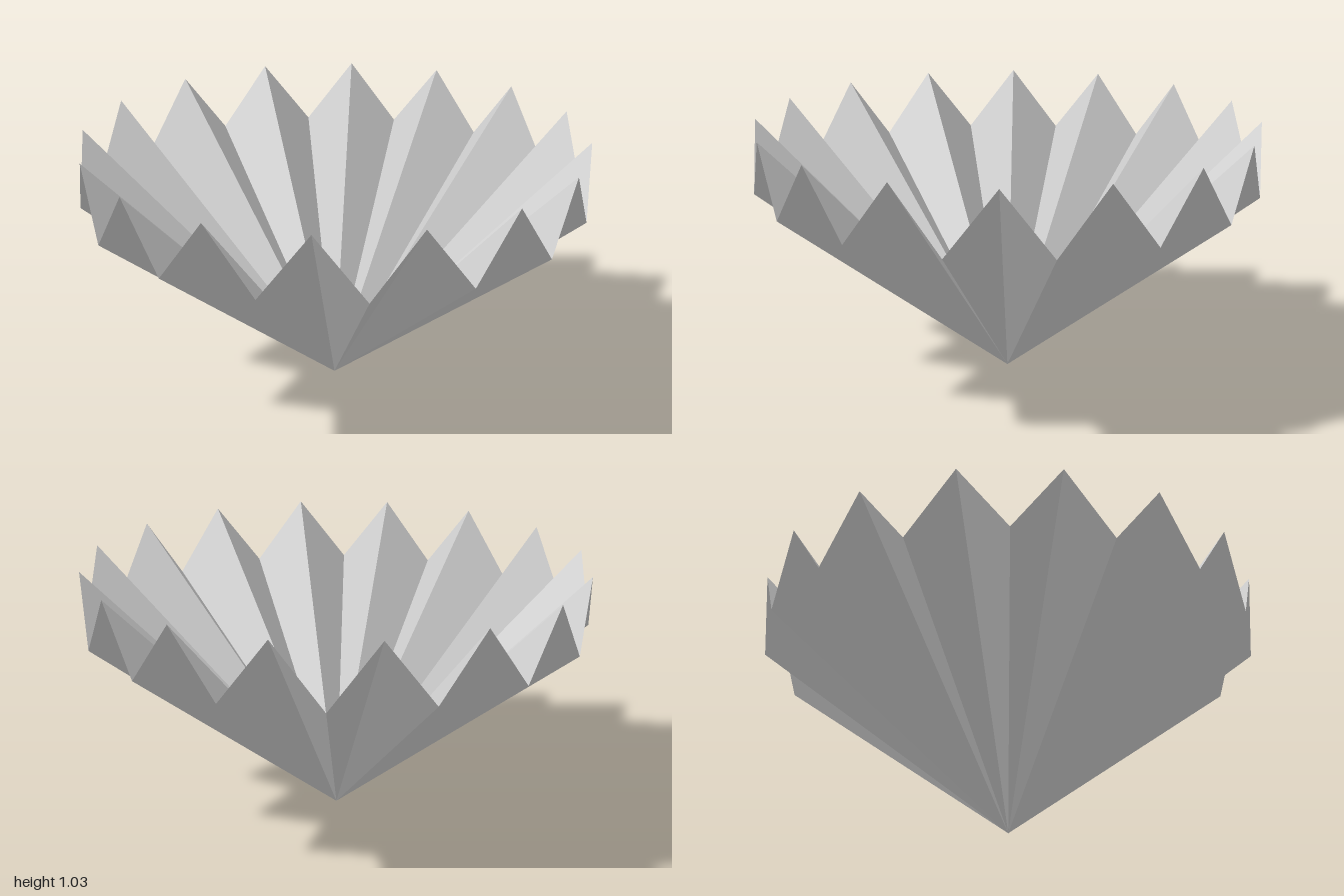
import * as THREE from 'three';

const FACETS = 32;
const RADIUS = 1;
const VALLEY_Y = 0.78;
const PEAK_Y = 1.035;

// Rim point: even steps are valleys, odd steps are peaks
function rimPoint(i) {
  const a = (i / FACETS) * Math.PI * 2;
  return [RADIUS * Math.sin(a), i % 2 ? PEAK_Y : VALLEY_Y, RADIUS * Math.cos(a)];
}

export function createModel() {
  const group = new THREE.Group();
  group.name = 'pleatedBowl';

  // Pleated fan of triangles rising from the bottom apex to the zigzag rim
  const positions = [];
  for (let i = 0; i < FACETS; i++) {
    positions.push(0, 0, 0, ...rimPoint(i + 1), ...rimPoint(i));
  }
  const geometry = new THREE.BufferGeometry();
  geometry.setAttribute('position', new THREE.Float32BufferAttribute(positions, 3));
  geometry.computeVertexNormals();

  const material = new THREE.MeshStandardMaterial({
    color: 0xcccccc,
    flatShading: true,
    side: THREE.DoubleSide,
  });
  const pleats = new THREE.Mesh(geometry, material);
  pleats.name = 'pleats';
  group.add(pleats);
  return group;
}
